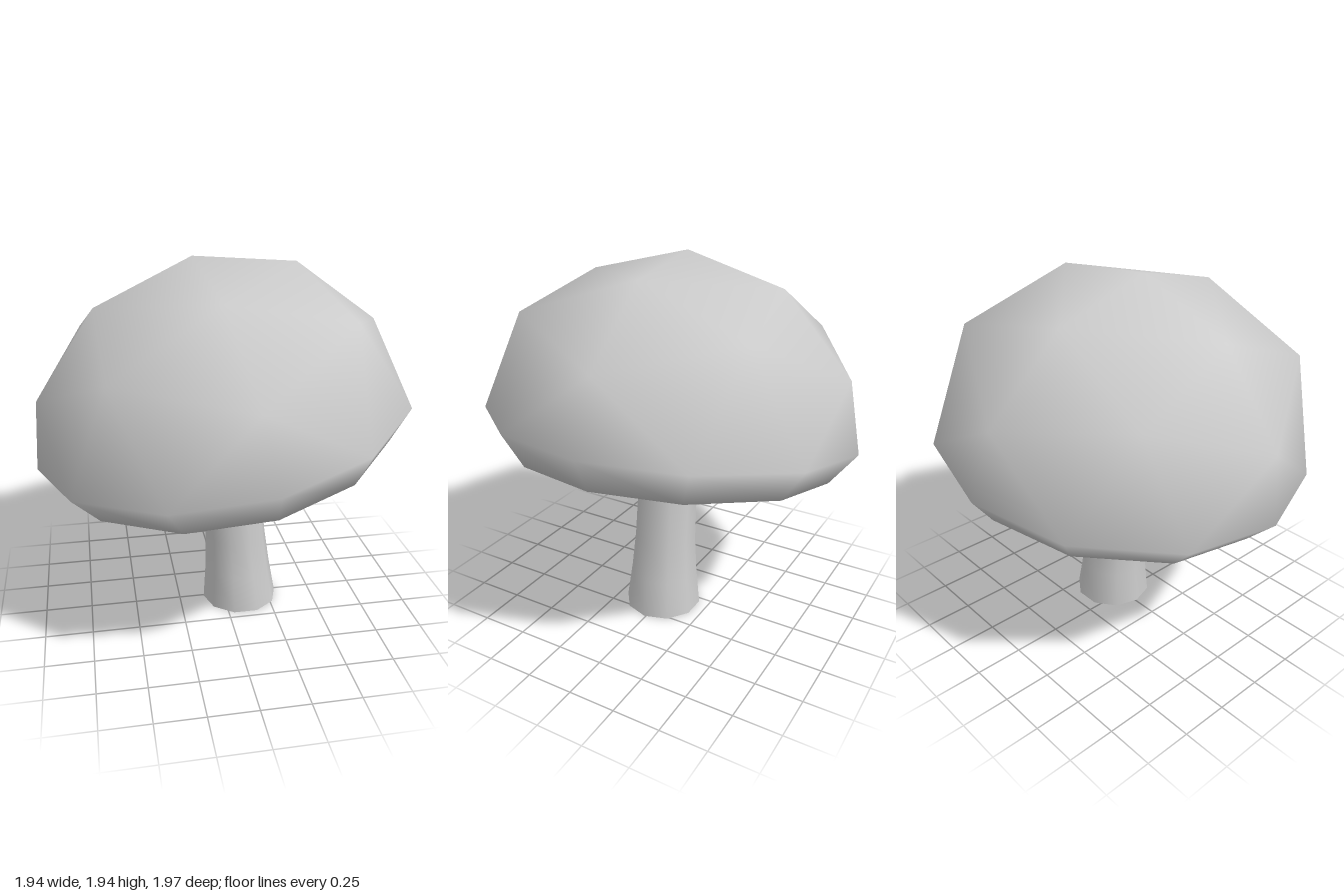
import * as THREE from 'three';

const deg = THREE.MathUtils.degToRad;

// Builds a smooth indexed surface from points and triangle indices
function surface(points, index) {
  const g = new THREE.BufferGeometry();
  g.setAttribute('position', new THREE.Float32BufferAttribute(points, 3));
  g.setIndex(index);
  g.computeVertexNormals();
  return g;
}

// Dome of an octahedral sphere (rings of 12, 8, 4 and 1 points) closed by a turned-in underside
function capGeometry() {
  // One quarter of each ring: [angle, radius, height]
  const rings = [
    [[0, 0.99, 0], [28.8, 0.98, 0], [61.2, 0.98, 0]],
    [[0, 0.905, 0.35], [45, 0.83, 0.53]],
    [[0, 0.525, 0.74]],
  ];
  const points = [], index = [], start = [];
  const add = (a, r, h) => points.push(r * Math.cos(deg(a + 4.6)), h, -r * Math.sin(deg(a + 4.6)));
  const addRing = (quarter, scale = 1, drop = 0) => {
    start.push(points.length / 3);
    for (let q = 0; q < 4; q++) for (const [a, r, h] of quarter) add(a + q * 90, r * scale, h - drop);
  };
  rings.forEach((quarter) => addRing(quarter));
  start.push(points.length / 3);
  add(0, 0, 0.88); // apex
  addRing(rings[0], 0.872, 0.17); // lower lip
  const centre = points.length / 3;
  add(0, 0, -0.1); // slightly hollow underside

  const at = (k, q, j) => {
    const m = 3 - k;
    return m ? start[k] + ((q * m + j) % (4 * m)) : start[k];
  };
  for (let k = 0; k < 3; k++) for (let q = 0; q < 4; q++) for (let j = 0; j < 3 - k; j++) {
    index.push(at(k, q, j), at(k, q, j + 1), at(k + 1, q, j));
    if (j < 2 - k) index.push(at(k, q, j + 1), at(k + 1, q, j + 1), at(k + 1, q, j));
  }
  // Lip band and underside fan
  for (let i = 0; i < 12; i++) {
    const n = (i + 1) % 12, lip = start[4];
    index.push(lip + i, lip + n, i, lip + n, n, i);
    index.push(lip + n, lip + i, centre);
  }
  return surface(points, index);
}

// Open, gently leaning tube of ten sides
function stemGeometry() {
  // Cross-sections: [height, centre x, radius]
  const sections = [[0, 0.095, 0.208], [0.2, 0.083, 0.184], [0.4, 0.07, 0.168], [0.65, 0.048, 0.163], [0.9, 0.022, 0.165], [1.05, 0, 0.165]];
  const sides = 10, points = [], index = [];
  sections.forEach(([y, x, r], k) => {
    for (let i = 0; i < sides; i++) {
      const a = (i / sides) * Math.PI * 2;
      points.push(x + r * Math.cos(a), y, 0.008 - r * Math.sin(a));
      if (k === sections.length - 1) continue;
      const p = k * sides + i, n = k * sides + ((i + 1) % sides);
      index.push(p, n, p + sides, n, n + sides, p + sides);
    }
  });
  return surface(points, index);
}

export function createModel() {
  const group = new THREE.Group();
  group.name = 'mushroom';
  const material = new THREE.MeshStandardMaterial({ color: 0xcccccc, side: THREE.DoubleSide });

  const cap = new THREE.Mesh(capGeometry(), material);
  cap.name = 'cap';
  cap.position.y = 1.07;
  cap.rotation.z = deg(10);

  const stem = new THREE.Mesh(stemGeometry(), material);
  stem.name = 'stem';

  group.add(cap, stem);
  return group;
}
